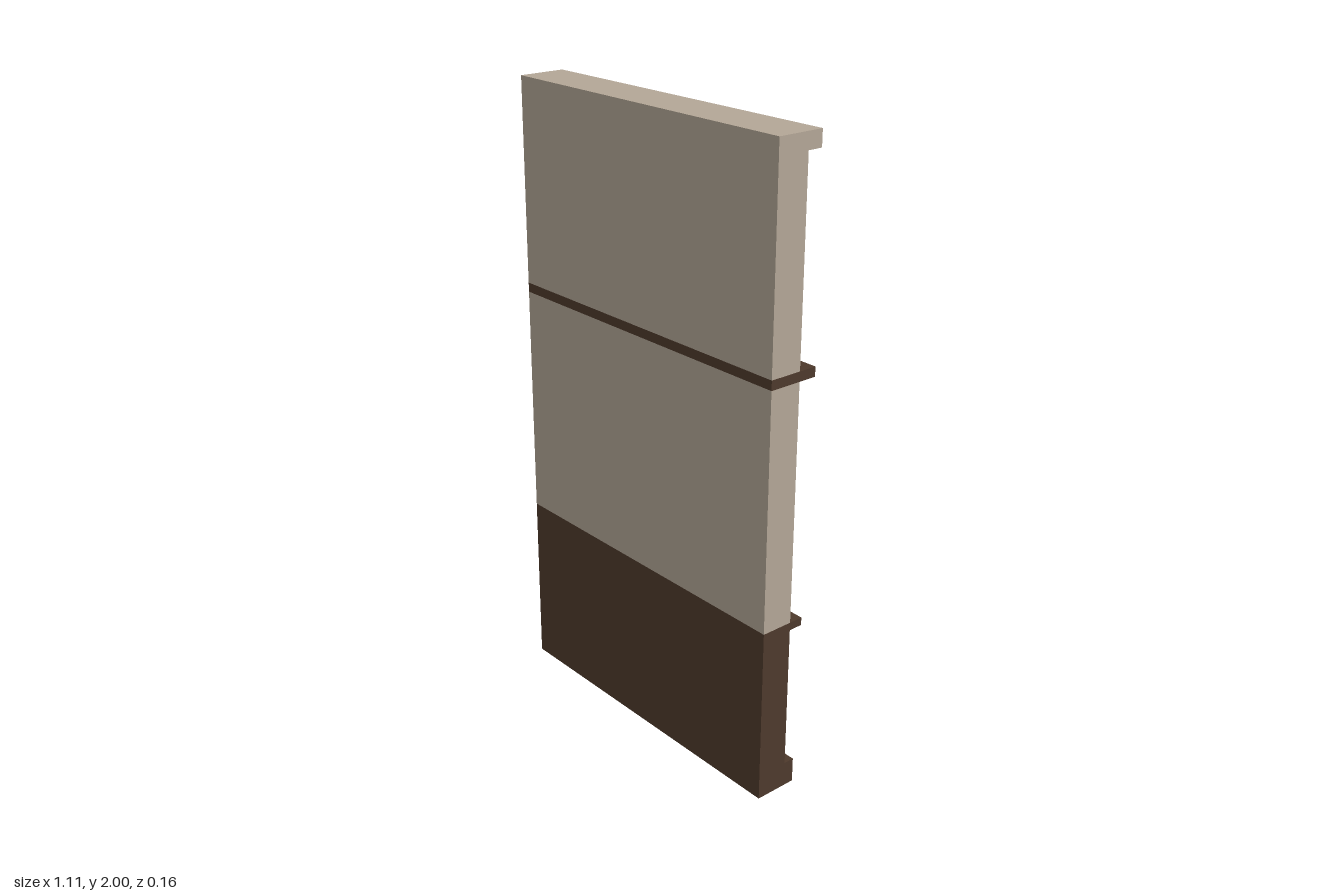
import * as THREE from 'three';

const WIDTH = 1.11;
const FRONT = 0.082;
const WALL_BACK = -0.023;

export function createModel() {
  const group = new THREE.Group();
  const plaster = new THREE.MeshStandardMaterial({ color: 0xb3a696 });
  const wood = new THREE.MeshStandardMaterial({ color: 0x4e3a2c });

  // Full-width course of the wall, flush at the front, running back to z = back
  function course(name, material, bottom, top, back) {
    const depth = FRONT - back;
    const mesh = new THREE.Mesh(new THREE.BoxGeometry(WIDTH, top - bottom, depth), material);
    mesh.name = name;
    mesh.position.set(0, (bottom + top) / 2, back + depth / 2);
    group.add(mesh);
  }

  // Wainscot: skirting, panel and cap
  course('baseboard', wood, 0, 0.08, -0.058);
  course('wainscotPanel', wood, 0.08, 0.545, WALL_BACK);
  course('wainscotCap', wood, 0.545, 0.57, -0.069);

  // Plaster wall divided by the picture rail
  course('lowerWall', plaster, 0.57, 1.32, WALL_BACK);
  course('pictureRail', wood, 1.32, 1.35, -0.082);
  course('upperWall', plaster, 1.35, 1.95, WALL_BACK);
  course('cornice', plaster, 1.95, 2, -0.071);

  return group;
}
